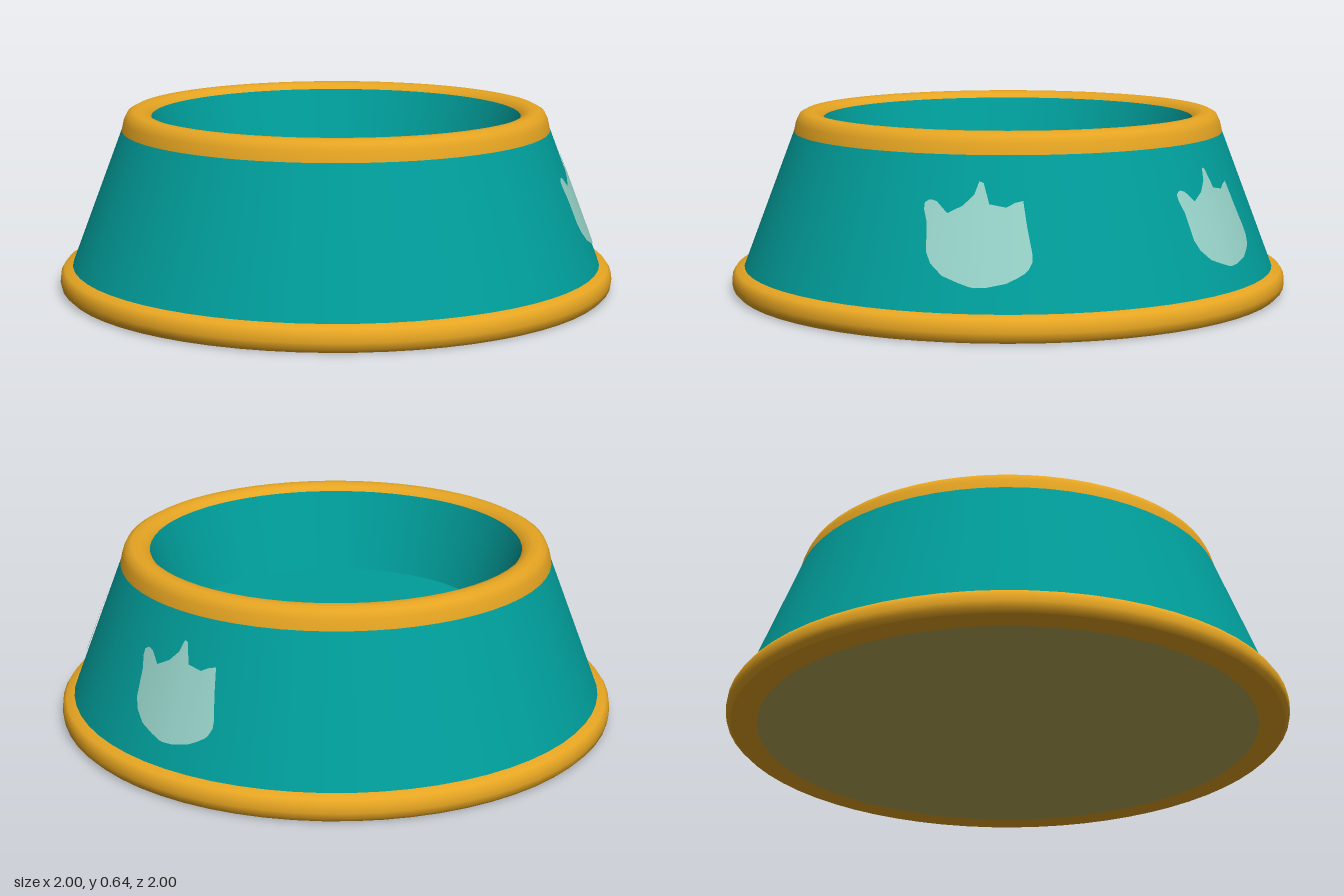
import * as THREE from 'three';

const SEGMENTS = 64;

function material(name, color) {
  const m = new THREE.MeshStandardMaterial({ color });
  m.name = name;
  return m;
}

// Surface of revolution; the profile runs up the outside and down the inside
function turned(name, profile, mat) {
  const points = profile.map(([r, y]) => new THREE.Vector2(r, y));
  const mesh = new THREE.Mesh(new THREE.LatheGeometry(points, SEGMENTS), mat);
  mesh.name = name;
  return mesh;
}

// Outer wall radius at height y
const wallRadius = (y) => 0.955 - (0.185 * (y - 0.085)) / 0.485;

// Paw-like splash: [angle in degrees, lower edge, upper edge]
const SPLASH = [
  [15.2, 0.40, 0.42], [16.2, 0.36, 0.43], [16.8, 0.27, 0.43], [18, 0.235, 0.425],
  [20.6, 0.20, 0.39], [24, 0.18, 0.415], [26.4, 0.168, 0.45], [27.4, 0.166, 0.49],
  [28.4, 0.167, 0.485], [29.8, 0.168, 0.42], [33.5, 0.18, 0.41], [35.6, 0.195, 0.425],
  [37.3, 0.21, 0.43], [38, 0.22, 0.35], [38.9, 0.245, 0.27],
];

// Strip of quads hugging the sloped wall
function splashGeometry() {
  const positions = [];
  const indices = [];
  SPLASH.forEach(([degrees, low, high], i) => {
    const a = THREE.MathUtils.degToRad(degrees);
    for (const y of [low, high]) {
      const r = wallRadius(y) + 0.005;
      positions.push(r * Math.cos(a), y, -r * Math.sin(a));
    }
    if (i > 0) {
      const k = 2 * i;
      indices.push(k - 2, k, k + 1, k - 2, k + 1, k - 1);
    }
  });
  const g = new THREE.BufferGeometry();
  g.setAttribute('position', new THREE.Float32BufferAttribute(positions, 3));
  g.setIndex(indices);
  g.computeVertexNormals();
  return g;
}

export function createModel() {
  const teal = material('teal', 0x009d9a);
  const orange = material('orange', 0xe6a522);
  const pale = material('pale mint', 0x96d2c8);
  const olive = material('olive underside', 0xb8ac56);

  const bowl = new THREE.Group();
  bowl.name = 'bowl';

  bowl.add(
    turned('underside', [[0, 0], [0.89, 0]], olive),
    turned('baseUnderRing', [[0.89, 0], [0.982, 0]], orange),
    turned('baseRim', [
      [0.982, 0], [0.996, 0.014], [1, 0.035], [0.997, 0.06], [0.985, 0.078], [0.955, 0.087],
    ], orange),
    turned('outerWall', [[wallRadius(0.085), 0.085], [wallRadius(0.57), 0.57]], teal),
    turned('topRim', [
      [0.77, 0.57], [0.762, 0.605], [0.75, 0.63], [0.73, 0.641],
      [0.7, 0.641], [0.677, 0.633], [0.664, 0.618],
    ], orange),
    turned('innerWall', [[0.664, 0.618], [0.568, 0.33]], teal),
    turned('bowlFloor', [[0.568, 0.33], [0, 0.33]], teal),
  );

  // Two splashes: one on the side, one at the back
  const splash = splashGeometry();
  [['sideSplash', 0], ['backSplash', 60.8]].forEach(([name, degrees]) => {
    const mesh = new THREE.Mesh(splash, pale);
    mesh.name = name;
    mesh.rotation.y = THREE.MathUtils.degToRad(degrees);
    bowl.add(mesh);
  });

  return bowl;
}
